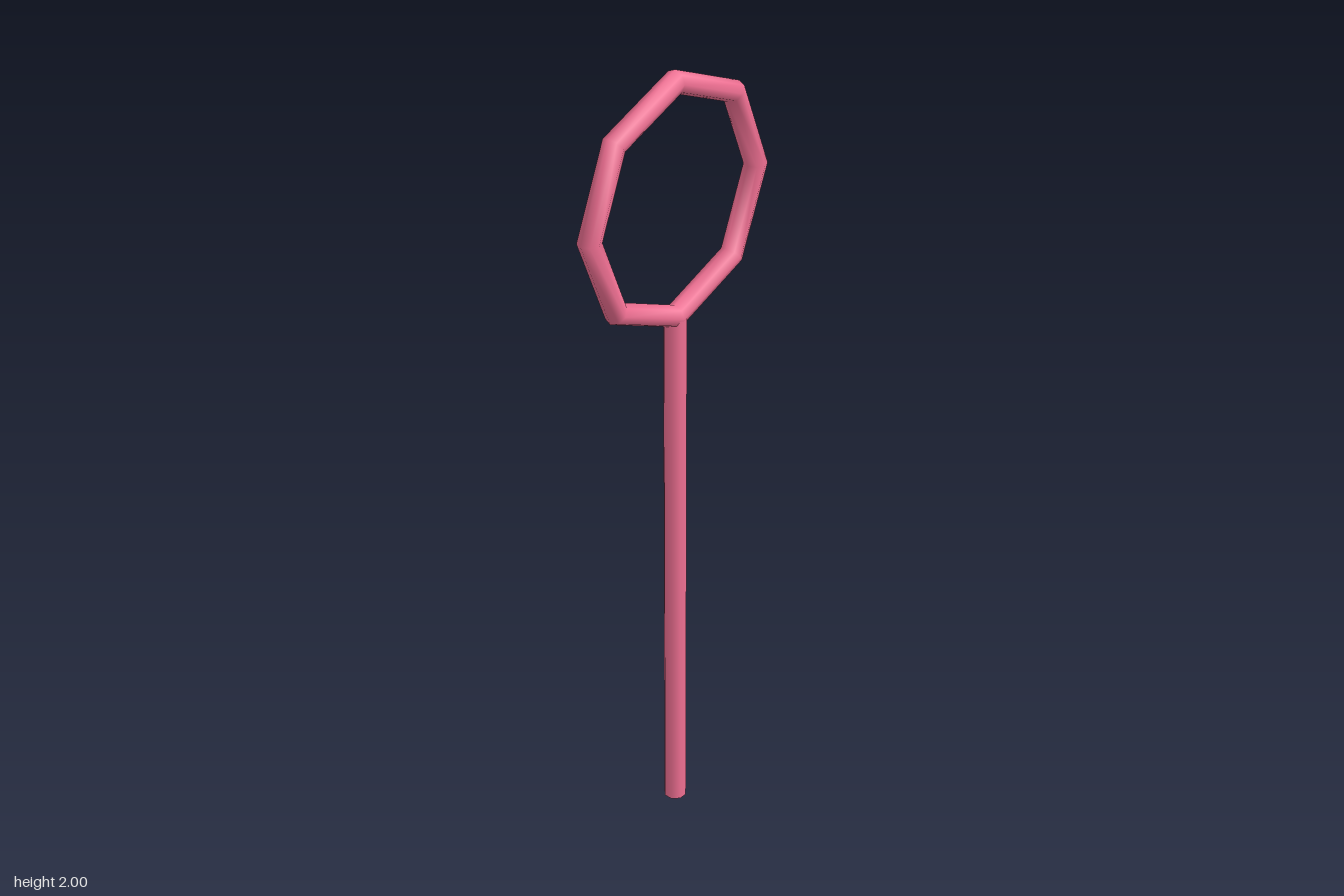
import * as THREE from 'three';

export function createModel() {
  const model = new THREE.Group();
  const material = new THREE.MeshStandardMaterial({ color: 0xf07093 });
  const tube = 0.029, ringRadius = 0.292, ringY = 2 - ringRadius - tube;

  // Eight-sided ring standing in the side plane, one corner pointing up
  const ring = new THREE.Mesh(new THREE.TorusGeometry(ringRadius, tube, 8, 8), material);
  ring.name = 'ring';
  ring.rotation.y = Math.PI / 2;
  ring.position.y = ringY;

  // Straight handle ending inside the ring's lowest corner
  const length = ringY - ringRadius;
  const handle = new THREE.Mesh(new THREE.CylinderGeometry(tube, tube, length, 8), material);
  handle.name = 'handle';
  handle.rotation.y = Math.PI / 8;
  handle.position.y = length / 2;

  model.add(ring, handle);
  return model;
}
